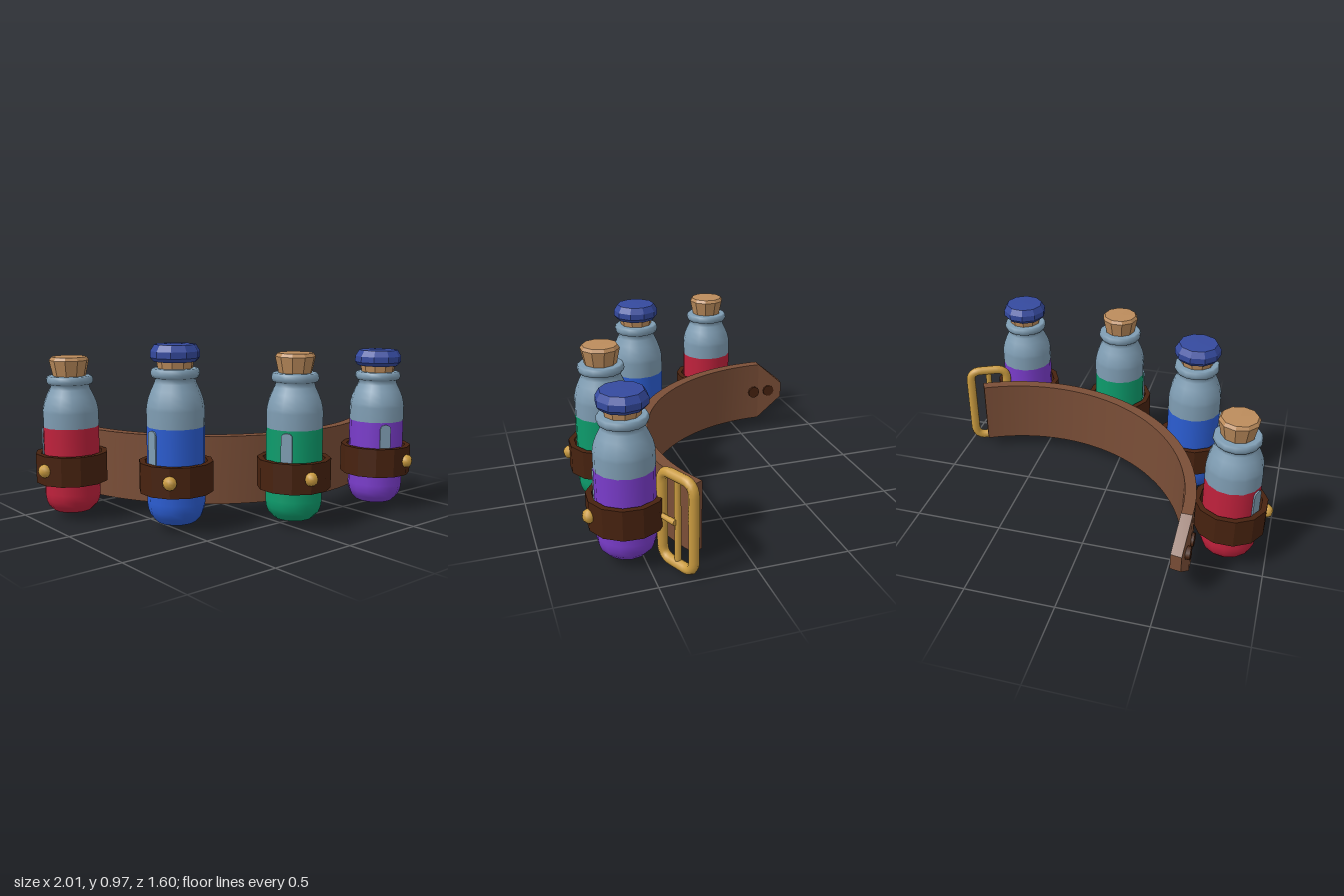
import * as THREE from 'three';

const mat = (name, color) => Object.assign(new THREE.MeshStandardMaterial({ color }), { name });
const M = {
  leather: mat('brown leather', 0x7a4e37),
  dark: mat('dark leather', 0x47220f),
  gold: mat('brass', 0xcb9c40),
  glass: mat('glass', 0x7f9db3),
  cork: mat('cork', 0xbc8c5c),
  cap: mat('navy cap', 0x354a9e),
  red: mat('red liquid', 0xc0213c),
  blue: mat('blue liquid', 0x2b5dd2),
  green: mat('green liquid', 0x0d9c6c),
  purple: mat('purple liquid', 0x7a3ccb),
};

function add(parent, name, geometry, material, x = 0, y = 0, z = 0) {
  const mesh = new THREE.Mesh(geometry, material);
  mesh.name = name;
  mesh.position.set(x, y, z);
  parent.add(mesh);
  return mesh;
}

// lathe from [radius, height] pairs
const lathe = (pts, sides) =>
  new THREE.LatheGeometry(pts.map(([r, y]) => new THREE.Vector2(r, y)), sides);

// faceted lathe: hard edges on every side
function facetedLathe(pts, sides) {
  const g = lathe(pts, sides).toNonIndexed();
  g.computeVertexNormals();
  return g;
}

// Belt arc in plan: centre and radius
const ARC = { x: 0.4, z: -0.616, r: 0.993 }, BELT_Y = 0.268, BELT_H = 0.378;
const deg = Math.PI / 180;

// Box bent along the belt arc from angle a0 to a1, its height tapering from startScale to 1
function bentStrap(a0, a1, segments, startScale = 1) {
  const g = new THREE.BoxGeometry(1, BELT_H, 0.06, segments, 1, 1);
  const p = g.attributes.position;
  for (let i = 0; i < p.count; i++) {
    const u = p.getX(i) + 0.5;
    const a = THREE.MathUtils.lerp(a0, a1, u) * deg;
    const r = ARC.r + p.getZ(i);
    const y = p.getY(i) * THREE.MathUtils.lerp(startScale, 1, u);
    p.setXYZ(i, ARC.x + r * Math.cos(a), BELT_Y + y, ARC.z + r * Math.sin(a));
  }
  g.computeVertexNormals();
  return g;
}

function makeBelt() {
  const belt = new THREE.Group();
  belt.name = 'belt';
  add(belt, 'strap', bentStrap(181.3, 62, 32), M.leather);
  add(belt, 'strapTip', bentStrap(190.7, 181.3, 1, 0.25), M.leather);
  // round studs showing on both faces of the tip
  for (const z of [-0.604, -0.708]) {
    const stud = add(belt, 'strapStud', new THREE.CylinderGeometry(0.037, 0.037, 0.09, 10), M.dark, -0.592, BELT_Y, z);
    stud.rotation.z = Math.PI / 2;
  }
  return belt;
}

function makeBuckle() {
  const buckle = new THREE.Group();
  buckle.name = 'buckle';
  // rounded rectangular ring
  const w = 0.113, h = 0.24, c = 0.065;
  const v = (x, y) => new THREE.Vector3(x, y, 0);
  const path = new THREE.CurvePath();
  const corners = [[1, 1], [-1, 1], [-1, -1], [1, -1]];
  corners.forEach(([sx, sy], i) => {
    const [nx, ny] = corners[(i + 1) % 4];
    const onSide = v(sx * w, sy * (h - c)), onEnd = v(sx * (w - c), sy * h);
    const flip = i % 2 === 1;
    const [from, to] = flip ? [onEnd, onSide] : [onSide, onEnd];
    const next = flip ? v(nx * w, ny * (h - c)) : v(nx * (w - c), ny * h);
    path.add(new THREE.QuadraticBezierCurve3(from, v(sx * w, sy * h), to));
    path.add(new THREE.LineCurve3(to, next));
  });
  add(buckle, 'buckleFrame', new THREE.TubeGeometry(path, 72, 0.027, 8, true), M.gold);
  add(buckle, 'buckleBar', new THREE.CylinderGeometry(0.017, 0.017, 2 * h, 8), M.gold);
  const prong = add(buckle, 'buckleProng', new THREE.CylinderGeometry(0.013, 0.016, 0.15, 8), M.gold, -0.07, 0, 0.02);
  prong.rotation.z = Math.PI / 2;
  buckle.position.set(0.874, 0.27, 0.365);
  buckle.rotation.y = 0.44;
  return buckle;
}

// Thin upright reflection plate with rounded ends, curved around the bottle
function glintGeometry(height) {
  const hw = 0.03, hh = height / 2, r = 0.025;
  const s = new THREE.Shape();
  s.moveTo(-hw, -hh + r);
  s.lineTo(-hw, hh - r);
  s.quadraticCurveTo(-hw, hh, 0, hh);
  s.quadraticCurveTo(hw, hh, hw, hh - r);
  s.lineTo(hw, -hh + r);
  s.quadraticCurveTo(hw, -hh, 0, -hh);
  s.quadraticCurveTo(-hw, -hh, -hw, -hh + r);
  return new THREE.ExtrudeGeometry(s, { depth: 0.008, bevelEnabled: false, curveSegments: 4 });
}

// One bottle in its leather loop; the loop's stud faces local +z
function makeBottle({ name, x, z, H, liquid, capped, facing }) {
  const g = new THREE.Group();
  g.name = name;
  const base = 0.04, Y = t => base + t * H;
  const scaled = pts => pts.map(([r, t]) => [r, Y(t)]);

  add(g, 'liquid', lathe(scaled([[0, 0], [0.1, 0], [0.105, 0.003], [0.136, 0.045], [0.148, 0.085],
    [0.152, 0.12], [0.152, 0.14], [0.152, 0.63]]), 14), M[liquid]);
  add(g, 'glass', lathe(scaled([[0.152, 0.63], [0.152, 0.74], [0.15, 0.765], [0.142, 0.81], [0.127, 0.86],
    [0.11, 0.905], [0.104, 0.935], [0.12, 0.942], [0.128, 0.965], [0.124, 0.992], [0.115, 1], [0, 1]]), 14), M.glass);

  // stopper, with or without a cap over it
  const top = Y(1);
  if (capped) {
    add(g, 'stopper', facetedLathe([[0.088, top - 0.02], [0.1, top + 0.06]], 10), M.cork);
    add(g, 'cap', facetedLathe([[0, top + 0.035], [0.112, top + 0.035], [0.129, top + 0.055],
      [0.129, top + 0.088], [0.108, top + 0.122], [0, top + 0.126]], 10), M.cap);
  } else {
    add(g, 'stopper', facetedLathe([[0.084, top - 0.02], [0.107, top + 0.085],
      [0.095, top + 0.103], [0, top + 0.104]], 10), M.cork);
  }

  // leather loop and brass stud
  add(g, 'loop', facetedLathe([[0.166, 0.205], [0.197, 0.205], [0.197, 0.365], [0.166, 0.365], [0.166, 0.205]], 12), M.dark);
  const stud = add(g, 'loopStud', new THREE.SphereGeometry(0.037, 8, 6), M.gold, 0, 0.287, 0.197);
  stud.scale.z = 0.9;

  // reflection, turned away from the stud
  const glint = new THREE.Group();
  glint.name = 'glint';
  const low = 0.24, high = Y(0.615);
  add(glint, 'glintPlate', glintGeometry(high - low), M.glass, 0, (low + high) / 2, 0.149);
  glint.rotation.y = -42 * deg;
  g.add(glint);

  g.position.set(x, 0, z);
  g.rotation.y = (90 - facing) * deg;
  return g;
}

export function createModel() {
  const model = new THREE.Group();
  model.name = 'bottleBelt';
  model.add(makeBelt(), makeBuckle());
  const bottles = [
    { name: 'redBottle', x: -0.782, z: -0.343, H: 0.742, liquid: 'red', capped: false, facing: 166 },
    { name: 'blueBottle', x: -0.475, z: 0.21, H: 0.808, liquid: 'blue', capped: true, facing: 136 },
    { name: 'greenBottle', x: 0.056, z: 0.543, H: 0.776, liquid: 'green', capped: false, facing: 107 },
    { name: 'purpleBottle', x: 0.682, z: 0.573, H: 0.742, liquid: 'purple', capped: true, facing: 78 },
  ];
  for (const b of bottles) model.add(makeBottle(b));
  return model;
}
